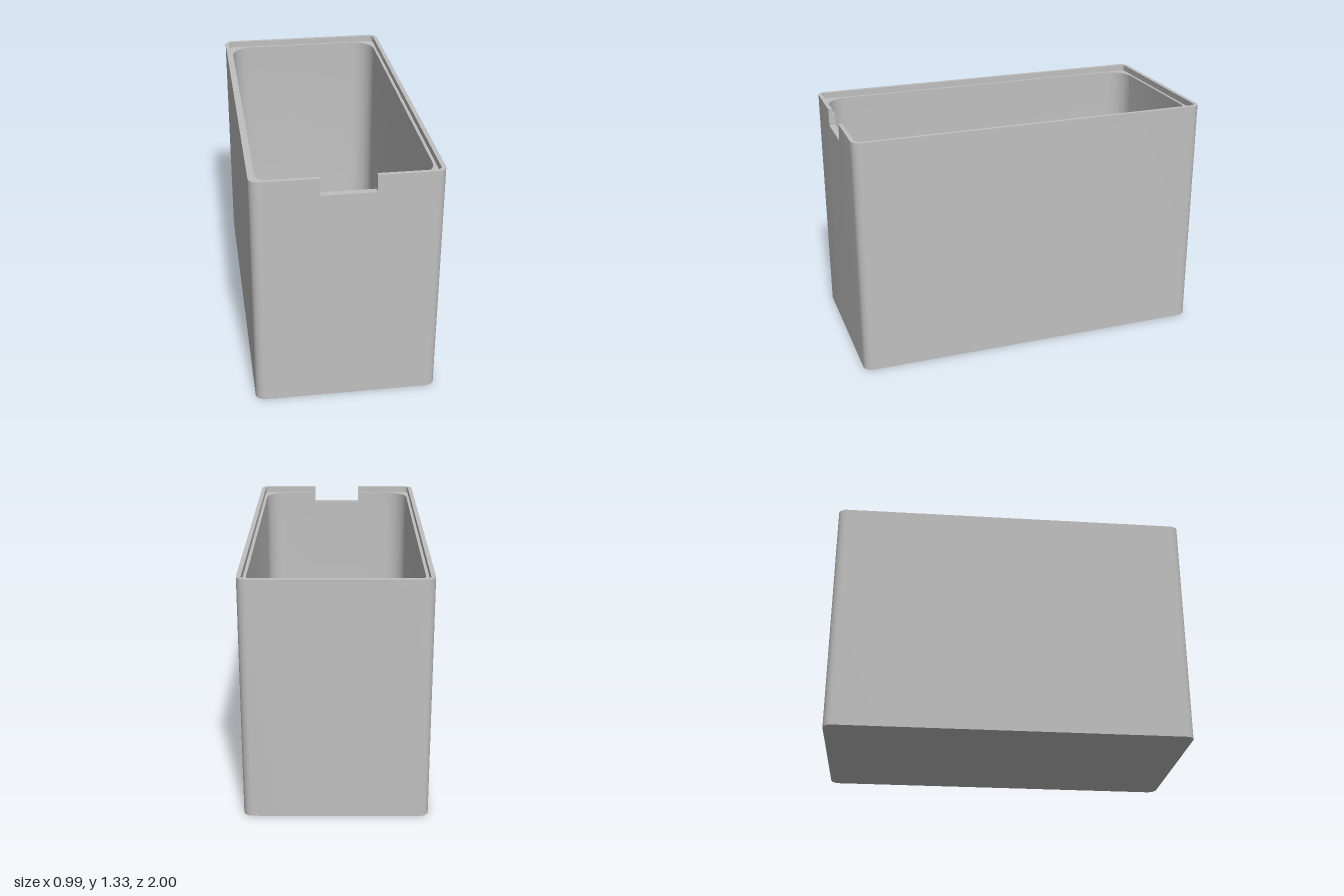
import * as THREE from 'three';
import { toCreasedNormals } from 'three/addons/utils/BufferGeometryUtils.js';

const HEIGHT = 1.33, LEDGE = 1.295, NOTCH = 1.235, FLOOR = 0.04;
const NOTCH_HALF = 0.142, FILLET = 0.12, CORNER_STEPS = 8, FILLET_STEPS = 8;

const outer = { w: 0.495, d: 1, r: 0.05 };
const lip = { w: 0.471, d: 0.978, r: 0.025 };
const cavity = { w: 0.455, d: 0.963, r: 0.13 };

// Rounded rectangle at height y, starting and ending at the notch edges on the front
function loop({ w, d, r }, y) {
  const pts = [[-NOTCH_HALF, y, d]];
  [[-1, 1], [-1, -1], [1, -1], [1, 1]].forEach(([sx, sz], k) => {
    for (let i = 0; i <= CORNER_STEPS; i++) {
      const a = (k + 1 + i / CORNER_STEPS) * Math.PI / 2;
      pts.push([sx * (w - r) + r * Math.cos(a), y, sz * (d - r) + r * Math.sin(a)]);
    }
  });
  pts.push([NOTCH_HALF, y, d]);
  return pts;
}

function shellGeometry() {
  // Sections: up the outside, over the stepped rim, down the inside
  const loops = [
    loop(outer, 0), loop(outer, NOTCH), loop(outer, HEIGHT),
    loop(lip, HEIGHT), loop(lip, LEDGE), loop(cavity, LEDGE), loop(cavity, NOTCH),
  ];
  // Rounded transition from inner walls to floor
  for (let i = 0; i <= FILLET_STEPS; i++) {
    const a = i / FILLET_STEPS * Math.PI / 2;
    const inset = FILLET * (1 - Math.cos(a));
    loops.push(loop({ w: cavity.w - inset, d: cavity.d - inset, r: cavity.r - inset },
      FLOOR + FILLET * (1 - Math.sin(a))));
  }

  const n = loops[0].length, last = loops.length - 1;
  const index = [];
  const id = (s, i) => s * n + i % n;
  const quad = (a, b, c, d) => index.push(a, b, c, a, c, d);

  // Walls, leaving the notch segment open near the top
  for (let s = 0; s < last; s++) {
    const open = s >= 1 && s <= 5;
    for (let i = 0; i < (open ? n - 1 : n); i++) {
      quad(id(s, i), id(s + 1, i), id(s + 1, i + 1), id(s, i + 1));
    }
  }

  // Underside and inner floor
  const under = loops.length * n, floor = under + 1;
  for (let i = 0; i < n; i++) {
    index.push(under, id(0, i), id(0, i + 1));
    index.push(id(last, i), floor, id(last, i + 1));
  }

  // Notch sill and its two stepped side faces
  quad(id(1, n - 1), id(6, n - 1), id(6, 0), id(1, 0));
  for (const [a, b, c] of [[4, 5, 6], [4, 6, 1], [4, 1, 2], [4, 2, 3]]) {
    index.push(id(a, n - 1), id(b, n - 1), id(c, n - 1));
    index.push(id(a, 0), id(c, 0), id(b, 0));
  }

  const points = [...loops.flat(), [0, 0, 0], [0, FLOOR, 0]];
  const geometry = new THREE.BufferGeometry();
  geometry.setAttribute('position', new THREE.Float32BufferAttribute(points.flat(), 3));
  geometry.setIndex(index);
  return toCreasedNormals(geometry, Math.PI / 6);
}

export function createModel() {
  const grey = new THREE.MeshStandardMaterial({ color: 0xc0c0c0 });
  grey.name = 'light grey';

  const shell = new THREE.Mesh(shellGeometry(), grey);
  shell.name = 'boxShell';

  const group = new THREE.Group();
  group.name = 'openBox';
  group.add(shell);
  return group;
}
